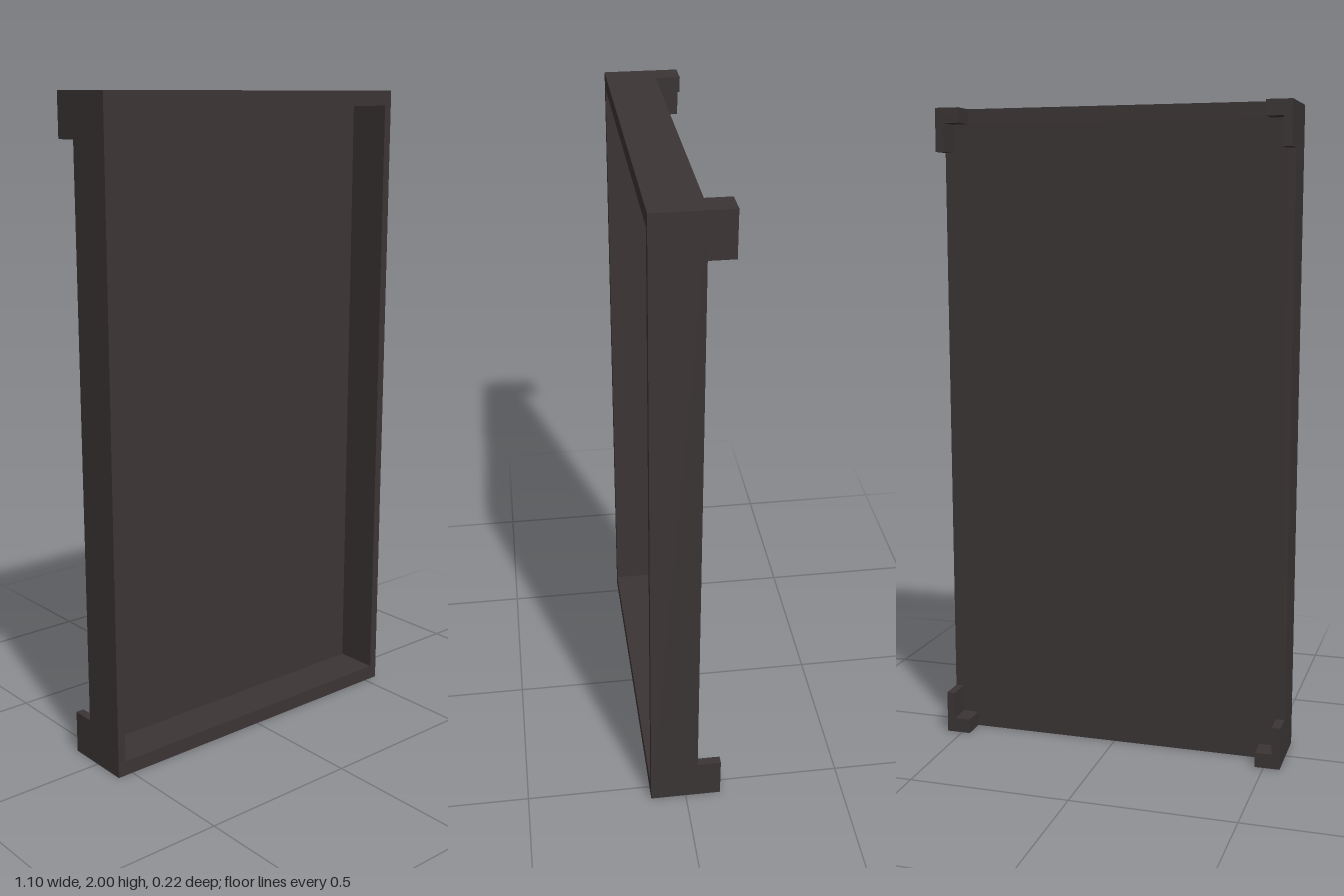
import * as THREE from 'three';

const W = 0.55, H = 2, BACK = -0.037, FRONT = 0.111; // half width, height, tray depth range
const TX = 0.026, TY = 0.046;                        // wall thickness across and along

const outline = (pts) => pts.map(([x, y]) => new THREE.Vector2(x, y));

function extrude(name, shape, z, depth, material) {
  const geometry = new THREE.ExtrudeGeometry(shape, { depth, bevelEnabled: false });
  const mesh = new THREE.Mesh(geometry, material);
  mesh.name = name;
  mesh.position.z = z;
  return mesh;
}

export function createModel() {
  const group = new THREE.Group();
  group.name = 'tray';
  const charcoal = new THREE.MeshStandardMaterial({ color: 0x3b3434 });
  charcoal.name = 'charcoal brown';

  // Rectangular rim open to the front
  const rim = new THREE.Shape(outline([[-W, 0], [W, 0], [W, H], [-W, H]]));
  const x = W - TX;
  rim.holes.push(new THREE.Path(outline([[-x, TY], [-x, H - TY], [x, H - TY], [x, TY]])));
  group.add(extrude('rim', rim, BACK, FRONT - BACK, charcoal));

  // Thin floor panel closing the back
  const floor = new THREE.Mesh(new THREE.BoxGeometry(2 * x, H - 2 * TY, 0.01), charcoal);
  floor.name = 'floorPanel';
  floor.position.set(0, H / 2, BACK + 0.005);
  group.add(floor);

  // L-shaped corner feet behind the tray
  const armX = 0.077, armY = 0.132, footDepth = 0.074;
  for (const sx of [-1, 1]) {
    for (const top of [false, true]) {
      const corner = [[0, 0], [armX, 0], [armX, TY], [TX, TY], [TX, armY], [0, armY]];
      const foot = new THREE.Shape(outline(corner.map(([u, v]) => [sx * (W - u), top ? H - v : v])));
      const name = (top ? 'upper' : 'lower') + (sx > 0 ? 'Left' : 'Right') + 'Foot';
      group.add(extrude(name, foot, BACK - footDepth, footDepth, charcoal));
    }
  }
  return group;
}
